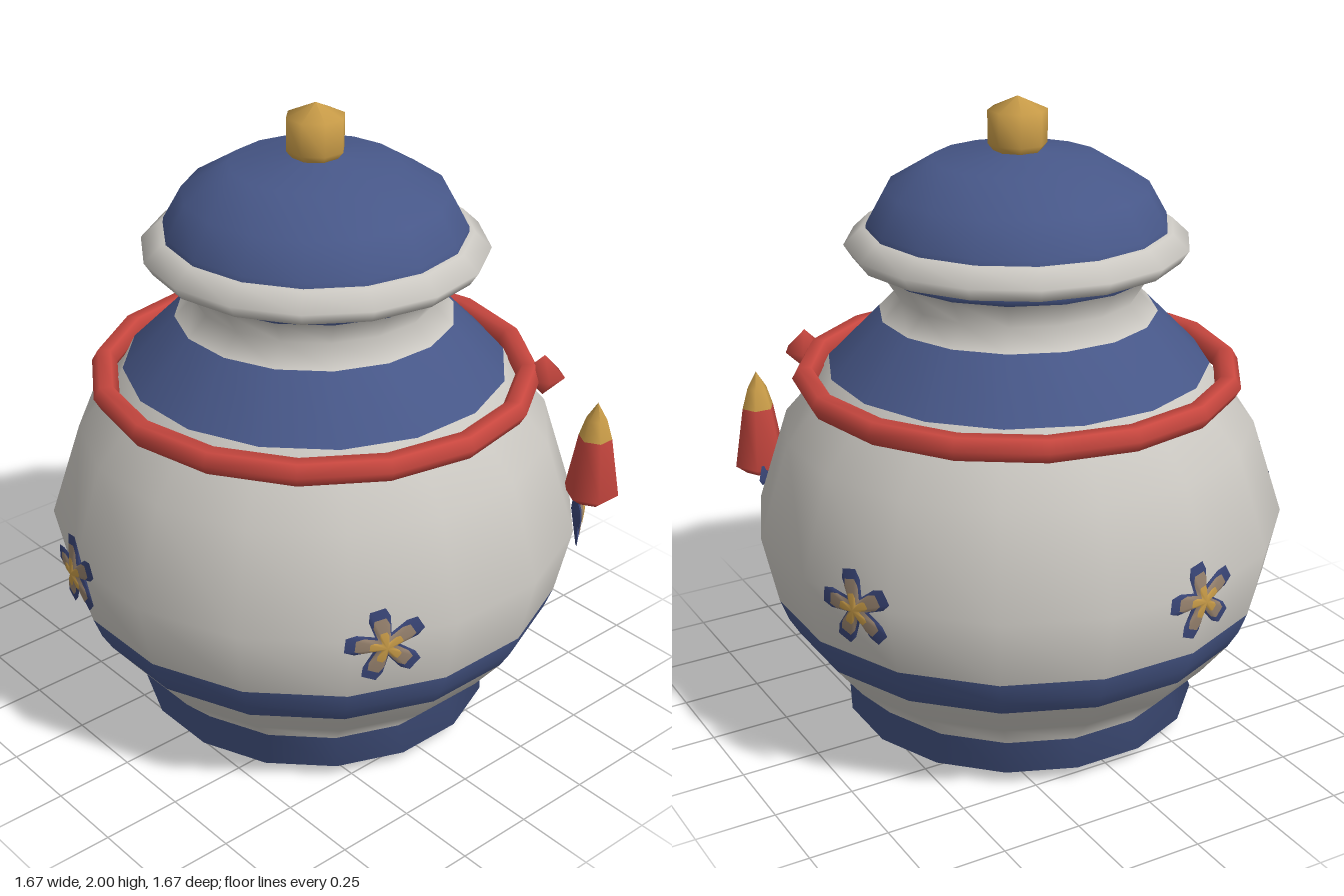
import * as THREE from 'three';

const mat = (name, color, side = THREE.FrontSide) => {
  const m = new THREE.MeshStandardMaterial({ color, side });
  m.name = name;
  return m;
};

export function createModel() {
  const glaze = mat('paleGlaze', 0xcbc8c2);
  const blue = mat('blueGlaze', 0x475788);
  const red = mat('redCord', 0xc8473f);
  const gold = mat('gold', 0xc99c48);
  const petalEdge = mat('petalBlue', 0x3a4678, THREE.DoubleSide);
  const petalTan = mat('petalTan', 0x98836f);

  const jar = new THREE.Group();
  jar.name = 'jar';
  jar.position.set(0.015, 0, 0.015);

  const add = (name, geometry, material, parent = jar) => {
    const mesh = new THREE.Mesh(geometry, material);
    mesh.name = name;
    parent.add(mesh);
    return mesh;
  };

  // Lathe from [radius, height, material of the band above] rows, smooth across colour bands
  const turned = (name, rows, sides, phase, parent = jar) => {
    const pts = rows.map(([r, y]) => new THREE.Vector2(r, y));
    const geo = new THREE.LatheGeometry(pts, sides, phase);
    const bands = rows.slice(0, -1).map((row) => row[2]);
    const mats = [...new Set(bands)];
    const n = rows.length;
    const index = [];
    mats.forEach((m, k) => {
      const start = index.length;
      bands.forEach((band, j) => {
        if (band !== m) return;
        for (let i = 0; i < sides; i++) {
          const a = i * n + j, b = a + n;
          index.push(a, b, a + 1, b + 1, a + 1, b);
        }
      });
      geo.addGroup(start, index.length - start, k);
    });
    geo.setIndex(index);
    return add(name, geo, mats, parent);
  };

  // Pot: foot, belly, painted bands, shoulder and neck
  const flat = 1 / Math.cos(Math.PI / 16);
  const pot = [
    [0, 0, blue], [0.47, 0, blue], [0.555, 0.045, blue], [0.525, 0.13, glaze],
    [0.625, 0.235, glaze], [0.71, 0.345, blue], [0.742, 0.4, blue], [0.768, 0.47, glaze],
    [0.815, 0.69, glaze], [0.72, 0.99, glaze], [0.61, 1.12, glaze], [0.58, 1.18, blue],
    [0.42, 1.345, glaze], [0.362, 1.405, glaze], [0.412, 1.485, blue], [0.43, 1.53, blue],
    [0.3, 1.54, blue],
  ].map(([r, y, m]) => [r * flat, y, m]);
  turned('pot', pot, 16, Math.PI / 16);

  // Lid: rim and dome
  turned('lidRim', [
    [0.3, 1.527, glaze], [0.5, 1.525, glaze], [0.526, 1.565, glaze],
    [0.475, 1.613, glaze], [0.44, 1.615, glaze],
  ], 16, 0);
  turned('lidDome', [
    [0.46, 1.6, blue], [0.456, 1.63, blue], [0.4, 1.73, blue],
    [0.258, 1.815, blue], [0, 1.848, blue],
  ], 16, 0);
  turned('lidKnob', [
    [0.07, 1.835, gold], [0.09, 1.86, gold], [0.09, 1.96, gold], [0, 2, gold],
  ], 8, Math.PI / 8);

  // Cord around the shoulder with its bead
  const cord = add('cord', new THREE.TorusGeometry(0.657, 0.04, 6, 16), red);
  cord.rotation.x = Math.PI / 2;
  cord.position.y = 1.147;
  const bead = add('cordBead', new THREE.SphereGeometry(0.067, 6, 2), red);
  bead.position.set(0.5, 1.147, 0.495);

  // Hanging charm: red body with a golden tip
  const charm = new THREE.Group();
  charm.name = 'charm';
  charm.position.set(0.625, 0, 0.615);
  jar.add(charm);
  turned('charmBody', [
    [0, 0.71, red], [0.05, 0.71, red], [0.087, 0.74, red], [0.053, 0.935, red],
  ], 6, Math.PI / 2, charm);
  turned('charmTip', [
    [0.053, 0.935, gold], [0.033, 1.0, gold], [0, 1.055, gold],
  ], 6, Math.PI / 2, charm);

  // Shallow five-petal fan; layers of different size share one cone
  const flowerLayer = (size, lift) => {
    const pos = [0, 0, 0.02 + lift];
    const index = [];
    const petal = [[0.042, -36], [0.095, -20], [0.122, -11], [0.122, 11], [0.095, 20]];
    for (let p = 0; p < 5; p++) {
      for (const [r, deg] of petal) {
        const a = THREE.MathUtils.degToRad(102 + p * 72 + deg);
        pos.push(r * size * Math.cos(a), r * size * Math.sin(a), 0.02 * (1 - size) + lift);
      }
    }
    for (let i = 0; i < 25; i++) index.push(0, 1 + i, 1 + ((i + 1) % 25));
    const geo = new THREE.BufferGeometry();
    geo.setAttribute('position', new THREE.Float32BufferAttribute(pos, 3));
    geo.setIndex(index);
    geo.computeVertexNormals();
    return geo;
  };
  const edgeGeo = flowerLayer(1, 0);
  const petalGeo = flowerLayer(0.76, 0.002);
  const heartGeo = flowerLayer(0.42, 0.004);

  // Five flowers evenly spaced around the belly
  for (let i = 0; i < 5; i++) {
    const a = THREE.MathUtils.degToRad(45 + i * 72);
    const flower = new THREE.Group();
    flower.name = 'flower';
    flower.position.set(0.838 * Math.cos(a), 0.68, 0.838 * Math.sin(a));
    flower.rotation.y = Math.PI / 2 - a;
    add('petalEdges', edgeGeo, petalEdge, flower);
    add('petalBacks', edgeGeo, petalEdge, flower).scale.z = -1;
    add('petals', petalGeo, petalTan, flower);
    add('flowerHeart', heartGeo, gold, flower);
    jar.add(flower);
  }

  const model = new THREE.Group();
  model.name = 'liddedJar';
  model.add(jar);
  return model;
}
